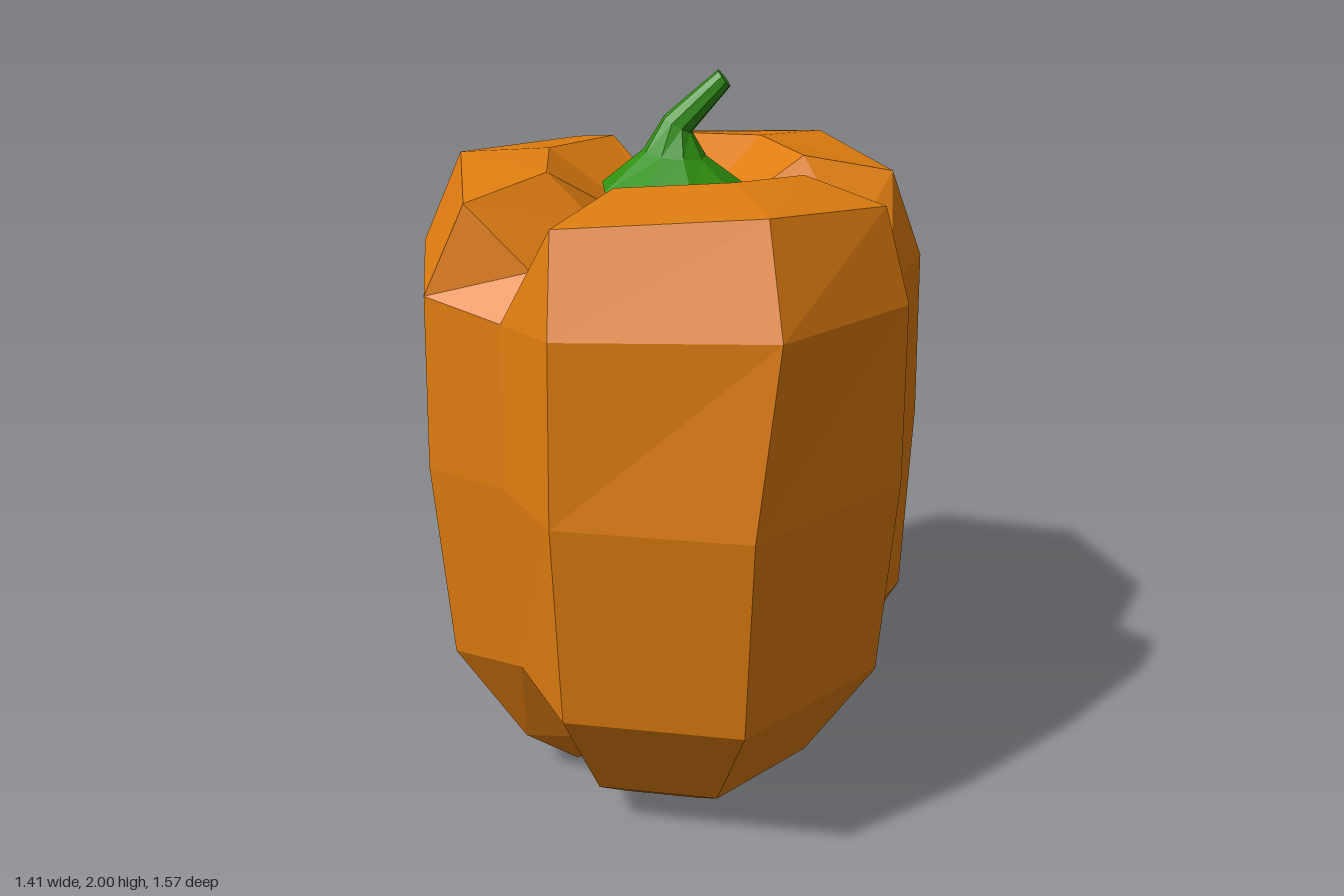
import * as THREE from 'three';

// Skins a stack of point rings, listed bottom to top, with flat facets; both ends are capped.
function loft(rings) {
  const n = rings[0].length;
  const middle = (ring, y) => {
    const c = new THREE.Vector3();
    ring.forEach(p => c.addScaledVector(p, 1 / n));
    if (y !== undefined) c.y = y;
    return Array(n).fill(c);
  };
  const last = rings[rings.length - 1];
  const all = [middle(rings[0]), ...rings, middle(last)];
  const pos = [];
  const tri = (...t) => t.forEach(p => pos.push(p.x, p.y, p.z));
  for (let i = 0; i < all.length - 1; i++) {
    for (let j = 0; j < n; j++) {
      const k = (j + 1) % n;
      const a = all[i][j], b = all[i][k], c = all[i + 1][j], d = all[i + 1][k];
      if (a !== b) tri(b, a, c);
      if (c !== d) tri(b, c, d);
    }
  }
  const g = new THREE.BufferGeometry();
  g.setAttribute('position', new THREE.Float32BufferAttribute(pos, 3));
  g.computeVertexNormals();
  return g;
}

// Outlines as [x, z]: three lobes of three ridges, each followed by one groove.
const BELLY = [
  [0.02, -0.785], [0.49, -0.635], [0.705, -0.14], [0.61, 0.12],
  [0.63, 0.395], [0.27, 0.785], [-0.22, 0.745], [-0.37, 0.52],
  [-0.59, 0.395], [-0.71, -0.14], [-0.43, -0.6], [-0.19, -0.635]];
const UPPER = [
  [0.015, -0.765], [0.49, -0.63], [0.69, -0.13], [0.6, 0.12],
  [0.625, 0.355], [0.32, 0.72], [-0.215, 0.72], [-0.365, 0.5],
  [-0.58, 0.38], [-0.7, -0.14], [-0.43, -0.59], [-0.185, -0.61]];
const SHOULDER = [
  [-0.04, -0.65], [0.41, -0.53], [0.6, -0.11], [0.49, 0.1],
  [0.56, 0.31], [0.28, 0.59], [-0.22, 0.61], [-0.3, 0.42],
  [-0.47, 0.37], [-0.58, -0.12], [-0.31, -0.54], [-0.15, -0.51]];
const CROWN = [
  [-0.015, -0.38], [0.24, -0.3], [0.36, -0.07], [0.19, 0.035],
  [0.36, 0.18], [0.19, 0.33], [-0.1, 0.37], [-0.17, 0.23],
  [-0.29, 0.2], [-0.325, -0.07], [-0.18, -0.32], [-0.05, -0.2]];

// Heights are given for [side ridge, middle ridge, groove].
function outlineRing(points, [side, mid, groove], scale = 1) {
  const lobeTaper = [0.98, 0.945, 0.94];
  return points.map(([x, z], j) => {
    const s = scale === 1 ? 1 : scale * lobeTaper[Math.floor(j / 4)];
    return new THREE.Vector3(x * s, [side, mid, side, groove][j % 4], z * s);
  });
}

// Nine-sided stem ring, leaning towards +x by the given angle.
function stemRing(x, y, z, r, lean) {
  return Array.from({ length: 9 }, (_, i) => {
    const t = i / 9 * Math.PI * 2;
    return new THREE.Vector3(
      x + r * Math.sin(t) * Math.cos(lean),
      y - r * Math.sin(t) * Math.sin(lean),
      z - r * Math.cos(t));
  });
}

export function createModel() {
  const orange = new THREE.MeshStandardMaterial({ color: 0xde7c0f });
  orange.name = 'pumpkin orange';
  const green = new THREE.MeshStandardMaterial({ color: 0x2f9010 });
  green.name = 'stem green';

  const model = new THREE.Group();
  model.name = 'pumpkin';

  // Lobed body, folding inwards at the top to a hollow under the stem
  const body = new THREE.Mesh(loft([
    outlineRing(BELLY, [0, 0, 0.07], 0.46),
    outlineRing(BELLY, [0.13, 0.13, 0.19], 0.7),
    outlineRing(BELLY, [0.47, 0.47, 0.5], 0.999),
    outlineRing(BELLY, [1.03, 1.03, 1.03]),
    outlineRing(UPPER, [1.49, 1.5, 1.46]),
    outlineRing(SHOULDER, [1.725, 1.755, 1.57]),
    outlineRing(CROWN, [1.77, 1.78, 1.66]),
    outlineRing(CROWN, [1.58, 1.58, 1.56], 0.1),
  ]), orange);
  body.name = 'body';
  model.add(body);

  // Stem with a flared foot and a bent tip
  const stem = new THREE.Mesh(loft([
    stemRing(0.015, 1.7, 0.01, 0.195, 0),
    stemRing(0.02, 1.785, 0.005, 0.085, 0.1),
    stemRing(0.028, 1.86, -0.005, 0.043, 0.5),
    stemRing(0.147, 1.978, -0.015, 0.027, 0.9),
  ]), green);
  stem.name = 'stem';
  model.add(stem);

  return model;
}
